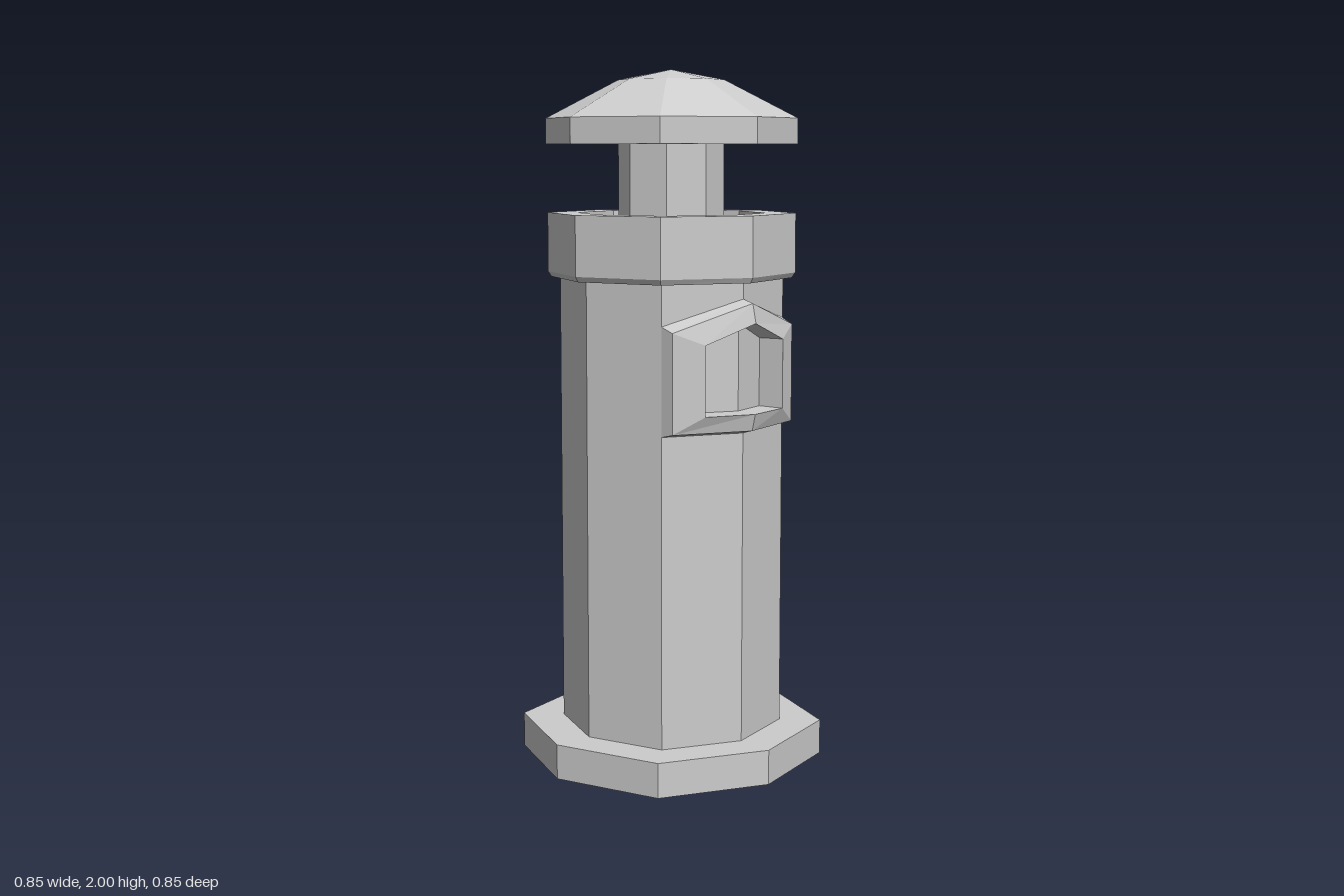
import * as THREE from 'three';

const material = new THREE.MeshStandardMaterial({ color: 0xcccccc, flatShading: true });

// Eight points: four on the axes at distance a, four on the diagonals at (d, d)
function octagon(y, a, d = a * Math.SQRT1_2) {
  return Array.from({ length: 8 }, (_, i) => {
    const r = i % 2 ? d * Math.SQRT2 : a;
    const t = (i * Math.PI) / 4;
    return new THREE.Vector3(r * Math.sin(t), y, r * Math.cos(t));
  });
}

// Joins closed loops of points with flat faces, leaving out the listed sides
function loft(loops, skip = []) {
  const pts = [];
  const face = (a, b, c) => {
    const tri = new THREE.Triangle(a, b, c);
    if (tri.getArea() > 1e-7) pts.push(a, b, c);
  };
  for (let k = 0; k < loops.length - 1; k++) {
    const low = loops[k], high = loops[k + 1], n = low.length;
    for (let i = 0; i < n; i++) {
      if (skip.includes(i)) continue;
      const j = (i + 1) % n;
      face(low[i], low[j], high[j]);
      face(low[i], high[j], high[i]);
    }
  }
  const geometry = new THREE.BufferGeometry().setFromPoints(pts);
  geometry.computeVertexNormals();
  return geometry;
}

// Window outline, counter-clockwise seen from +x, bent around the tower's corner
function windowLoop(halfWidth, bottom, shoulder, apex, xCentre, xSide) {
  const v = (x, y, z) => new THREE.Vector3(x, y, z);
  return [
    v(xCentre, bottom, 0), v(xSide, bottom, -halfWidth), v(xSide, shoulder, -halfWidth),
    v(xCentre, apex, 0), v(xSide, shoulder, halfWidth), v(xSide, bottom, halfWidth),
  ];
}

export function createModel() {
  const group = new THREE.Group();
  const add = (name, geometry) => {
    const mesh = new THREE.Mesh(geometry, material);
    mesh.name = name;
    group.add(mesh);
  };

  // Base slab
  add('base', loft([
    octagon(0, 0), octagon(0, 0.425, 0.313), octagon(0.1, 0.425, 0.313), octagon(0.1, 0),
  ]));

  // Tower walls, with the two window sides made separately
  const a = 0.31, d = 0.228, top = 1.415;
  add('towerWalls', loft([octagon(0.1, a, d), octagon(top, a, d)], [1, 2]));
  for (const side of [-1, 1]) {
    const outline = [
      [0, 0.1], [d, 0.1], [d, top], [0, top],
      [0, 1.33], [0.18, 1.265], [0.18, 1.02], [0, 1.02],
    ].map(([u, y]) => new THREE.Vector2(u * side, y));
    const wall = new THREE.ShapeGeometry(new THREE.Shape(outline));
    const p = wall.attributes.position;
    for (let i = 0; i < p.count; i++) {
      const u = p.getX(i);
      p.setXYZ(i, a - (Math.abs(u) * (a - d)) / d, p.getY(i), -u);
    }
    wall.computeVertexNormals();
    add('windowWall', wall);
  }

  // Window frame and its recess, closed by a bent back panel
  const back = windowLoop(0.12, 1.05, 1.245, 1.297, 0.29, 0.247);
  const seam = [0, 0, 3, 3, 3, 0].map((i) => back[i]);
  add('windowFrame', loft([
    windowLoop(0.228, 0.99, 1.295, 1.365, 0.31, 0.228),
    windowLoop(0.225, 1.0, 1.28, 1.355, 0.348, 0.27),
    windowLoop(0.145, 1.048, 1.245, 1.3, 0.361, 0.317),
    back, seam,
  ]));

  // Collar with a hollow top
  add('collar', loft([
    octagon(1.41, a, d), octagon(1.41, 0.338, 0.246), octagon(1.425, 0.347, 0.253),
    octagon(1.595, 0.347, 0.253), octagon(1.595, 0.265, 0.193),
    octagon(1.42, 0.265, 0.193), octagon(1.42, 0),
  ]));

  // Neck between collar and roof
  add('neck', loft([octagon(1.42, 0.152), octagon(1.79, 0.152)]));

  // Roof cap
  add('roof', loft([
    octagon(1.79, 0), octagon(1.79, 0.362), octagon(1.863, 0.362),
    octagon(1.971, 0.152), octagon(2, 0),
  ]));

  return group;
}
